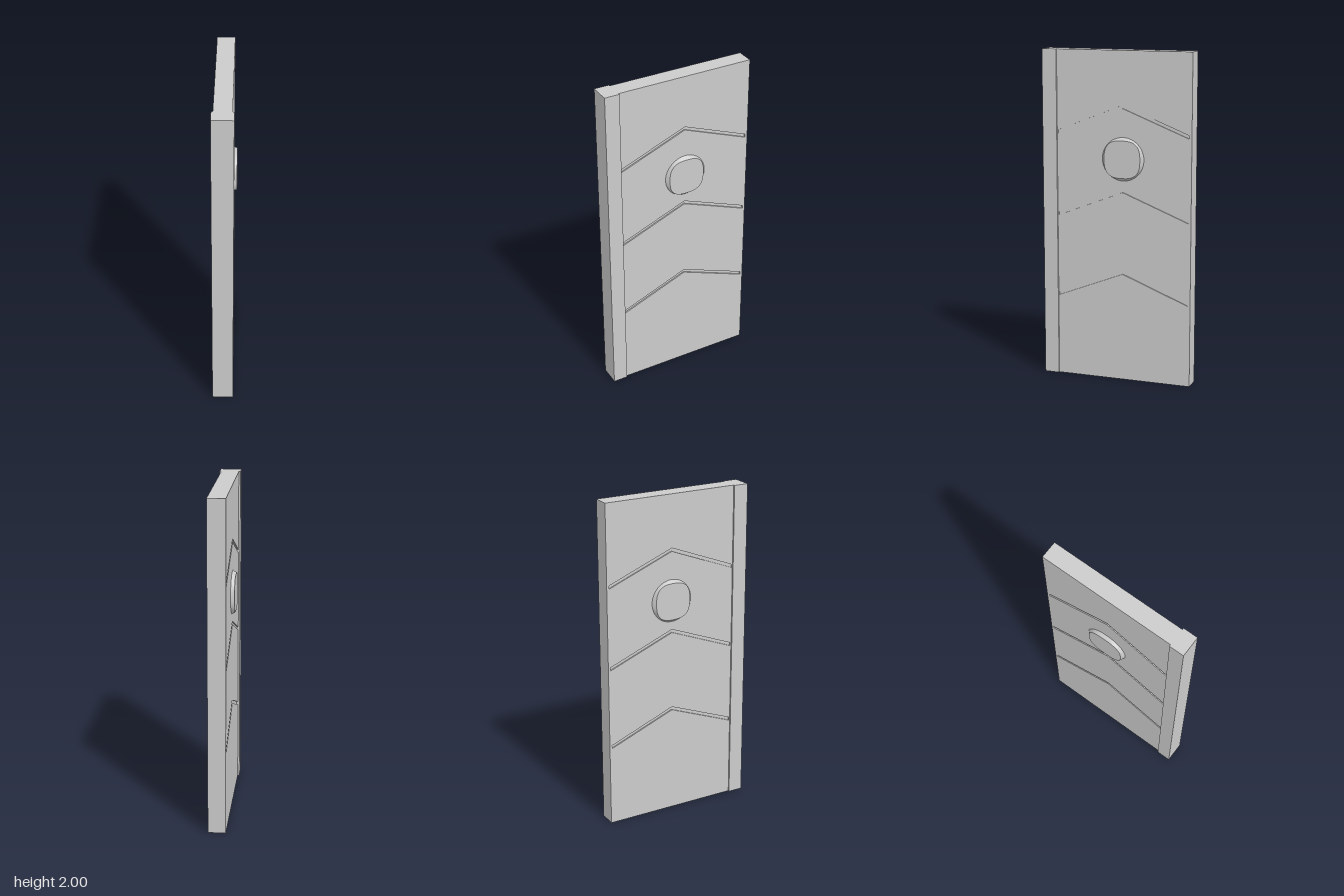
import * as THREE from 'three';

const HALF = 0.053;    // half thickness of the panel
const GROOVE = 0.008;  // depth of the chevron grooves
const MID = -0.04;     // z of the panel's centre line
const BACK = -0.465, POST = 0.375, FRONT = 0.465;

// Panel face, drawn in (z, y), with chevron grooves cut through
function faceGeometry() {
  const shape = new THREE.Shape([
    new THREE.Vector2(BACK, 0), new THREE.Vector2(POST, 0),
    new THREE.Vector2(POST, 2), new THREE.Vector2(BACK, 2),
  ]);
  const reach = 0.41, drop = 0.162, width = 0.02;
  for (const peak of [0.68, 1.18, 1.68]) {
    shape.holes.push(new THREE.Path([
      new THREE.Vector2(MID - reach, peak - drop),
      new THREE.Vector2(MID, peak),
      new THREE.Vector2(MID + reach, peak - drop),
      new THREE.Vector2(MID + reach, peak - drop - width),
      new THREE.Vector2(MID, peak - width),
      new THREE.Vector2(MID - reach, peak - drop - width),
    ]));
  }
  const geometry = new THREE.ExtrudeGeometry(shape, { depth: GROOVE, bevelEnabled: false });
  return geometry.rotateY(-Math.PI / 2);  // depth now runs towards -x
}

// Knob: round at the panel, tapering to a flat rounded-square cap
function knobGeometry() {
  const height = 0.022, power = 2 / 2.8;
  const geometry = new THREE.CylinderGeometry(0.112, 0.13, height, 48);
  const p = geometry.attributes.position;
  const soften = (v) => Math.sign(v) * Math.pow(Math.abs(v), power);
  for (let i = 0; i < p.count; i++) {
    const r = Math.hypot(p.getX(i), p.getZ(i));
    if (p.getY(i) < 0 || r < 1e-6) continue;
    p.setX(i, 0.112 * soften(p.getX(i) / r));
    p.setZ(i, 0.112 * soften(p.getZ(i) / r));
  }
  geometry.computeVertexNormals();
  return geometry.translate(0, height / 2, 0);
}

export function createModel() {
  const group = new THREE.Group();
  const material = new THREE.MeshStandardMaterial({ color: 0xcccccc });
  const add = (name, geometry, x, y, z) => {
    const mesh = new THREE.Mesh(geometry, material);
    mesh.name = name;
    mesh.position.set(x, y, z);
    group.add(mesh);
    return mesh;
  };

  // Core between the two grooved faces
  add('panelCore', new THREE.BoxGeometry(2 * (HALF - GROOVE), 2, POST - BACK), 0, 1, (POST + BACK) / 2);
  const face = faceGeometry();
  add('leftFace', face, HALF, 0, 0);
  add('rightFace', face, -(HALF - GROOVE), 0, 0);

  // Thicker upright along the front edge
  add('edgePost', new THREE.BoxGeometry(0.126, 2, FRONT - POST), 0, 1, (FRONT + POST) / 2);

  // A knob on each side
  const knob = knobGeometry();
  for (const side of [1, -1]) {
    const mesh = add(side > 0 ? 'leftKnob' : 'rightKnob', knob, side * HALF, 1.36, MID - 0.003);
    mesh.rotation.z = -side * Math.PI / 2;
  }
  return group;
}
